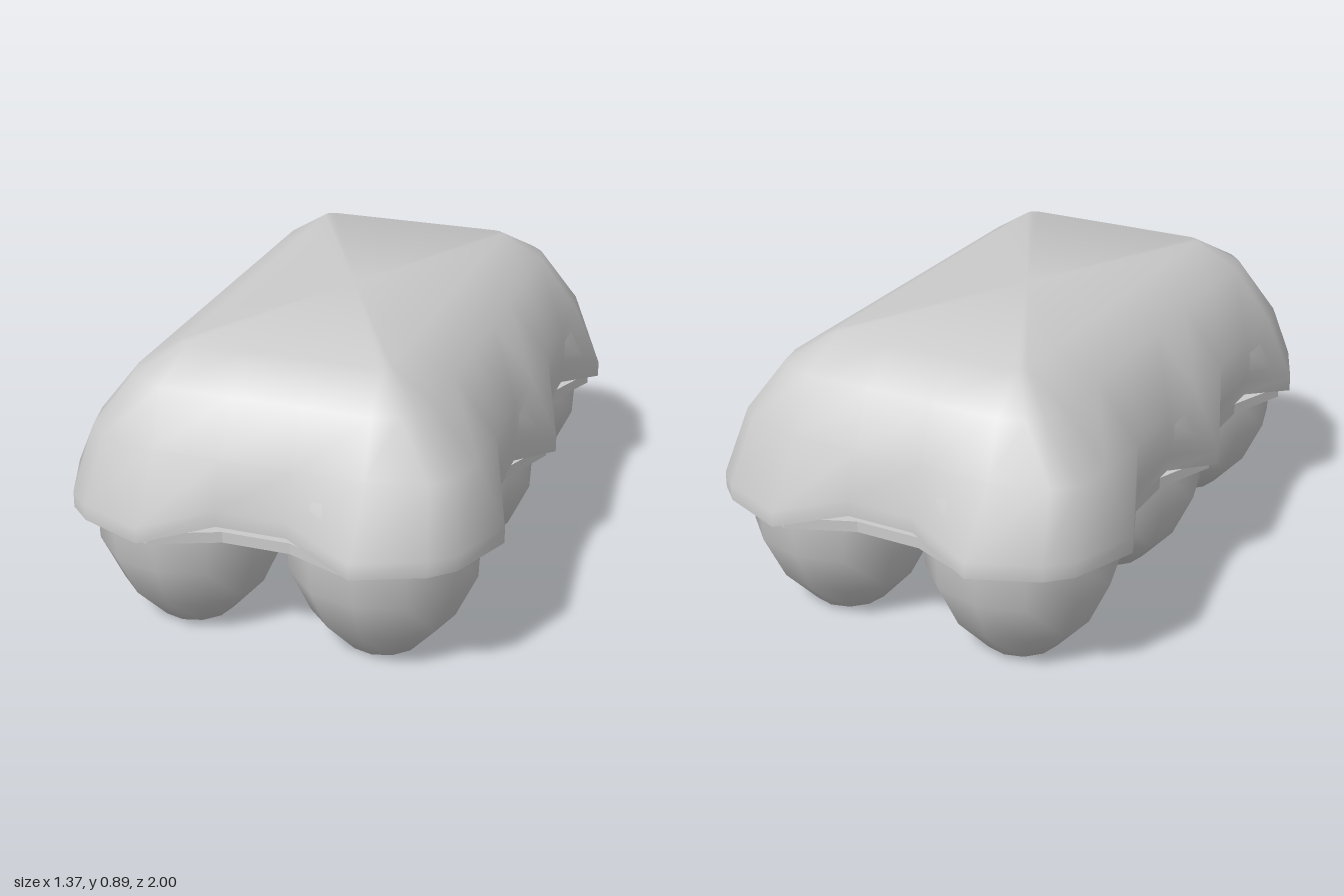
import * as THREE from 'three';
import { toCreasedNormals } from 'three/addons/utils/BufferGeometryUtils.js';

const material = new THREE.MeshStandardMaterial({ color: 0xcccccc, side: THREE.DoubleSide });

// Mirrors a quarter outline (front middle to right middle) into a closed ring
function fullRing(quarter) {
  const back = quarter.slice(0, -1).reverse();
  const flip = (pts, sx, sz) => pts.map(([x, y, z]) => [x * sx, y, z * sz]);
  return [...quarter, ...flip(back, 1, -1), ...flip(quarter, -1, -1), ...flip(back, -1, 1)];
}

// Joins rings into a skin, with a flat cap at both ends
function loft(rings) {
  const n = rings[0].length;
  const last = rings.length - 1;
  const pos = rings.flat(2);
  const idx = [];
  for (let r = 0; r < last; r++) {
    for (let i = 0; i < n; i++) {
      const a = r * n + i, b = r * n + (i + 1) % n;
      idx.push(a, b, b + n, a, b + n, a + n);
    }
  }
  const capA = rings.length * n;
  pos.push(0, rings[0][0][1], 0, 0, rings[last][0][1], 0);
  for (let i = 0; i < n; i++) {
    const j = (i + 1) % n;
    idx.push(j, i, capA, last * n + i, last * n + j, capA + 1);
  }
  const geo = new THREE.BufferGeometry();
  geo.setAttribute('position', new THREE.Float32BufferAttribute(pos, 3));
  geo.setIndex(idx);
  return toCreasedNormals(geo, 1.0);
}

// Scalloped rim: x, z and the height of its lower edge
const rim = [
  [0.11, 0.45, 0.915], [0.325, 0.40, 1.0], [0.53, 0.40, 0.915], [0.60, 0.40, 0.85],
  [0.683, 0.40, 0.645], [0.597, 0.45, 0.435], [0.597, 0.45, 0.21], [0.683, 0.40, 0],
];

// Rounded rectangle with the same point count as the rim
function roundedLevel(y, w, d, cx, cz) {
  return [
    [0.11, y, d], [Math.min(0.325, w - cx), y, d], [w - cx * 0.45, y, d - cz * 0.18],
    [w - cx * 0.15, y, d - cz * 0.45], [w, y, d - cz], [w, y, 0.435], [w, y, 0.21], [w, y, 0],
  ];
}

export function createModel() {
  const carton = new THREE.Group();
  carton.name = 'eggCarton';
  const add = (name, geo, x = 0, y = 0, z = 0) => {
    const mesh = new THREE.Mesh(geo, material);
    mesh.name = name;
    mesh.position.set(x, y, z);
    carton.add(mesh);
  };

  // Lid: inner skin going down, then outer skin going up
  const outer = [
    rim,
    rim.map(([x, y, z]) => [x, y + 0.05, z]),
    roundedLevel(0.64, 0.595, 0.86, 0.2, 0.215),
    roundedLevel(0.81, 0.46, 0.795, 0.135, 0.15),
    roundedLevel(0.895, 0.325, 0.645, 0.03, 0.03),
  ];
  const inner = outer.map((ring, k) =>
    ring.map(([x, y, z]) => [x * 0.97, y - (k > 1 ? 0.015 : 0), z * 0.98]));
  add('lid', loft([...inner.reverse(), ...outer].map(fullRing)));

  // Tray plate with an opening over each cup
  const plate = new THREE.Shape(
    fullRing(rim).map(([x, , z]) => new THREE.Vector2(x * 0.955, -z * 0.96)));
  const centres = [];
  for (const x of [-0.31, 0.31]) for (const z of [-0.62, 0, 0.62]) centres.push([x, z]);
  for (const [x, z] of centres) {
    const hole = [];
    for (let i = 0; i < 12; i++) {
      const a = -i * Math.PI / 6;
      hole.push(new THREE.Vector2(x + 0.29 * Math.cos(a), -z + 0.29 * Math.sin(a)));
    }
    plate.holes.push(new THREE.Path(hole));
  }
  const plateGeo = new THREE.ExtrudeGeometry(plate, { depth: 0.035, bevelEnabled: false });
  plateGeo.rotateX(-Math.PI / 2);
  add('trayPlate', plateGeo, 0, 0.38, 0);

  // Cups
  const profile = [[0, 0], [0.12, 0], [0.225, 0.115], [0.292, 0.26], [0.298, 0.395]]
    .map(([r, y]) => new THREE.Vector2(r, y));
  const cupGeo = new THREE.LatheGeometry(profile, 12);
  for (const [x, z] of centres) add('cup', cupGeo, x, 0, z);

  // Divider posts between the cups
  const postGeo = new THREE.CylinderGeometry(0.03, 0.07, 0.14, 8);
  for (const z of [-0.31, 0.31]) add('dividerPost', postGeo, 0, 0.47, z);

  return carton;
}
